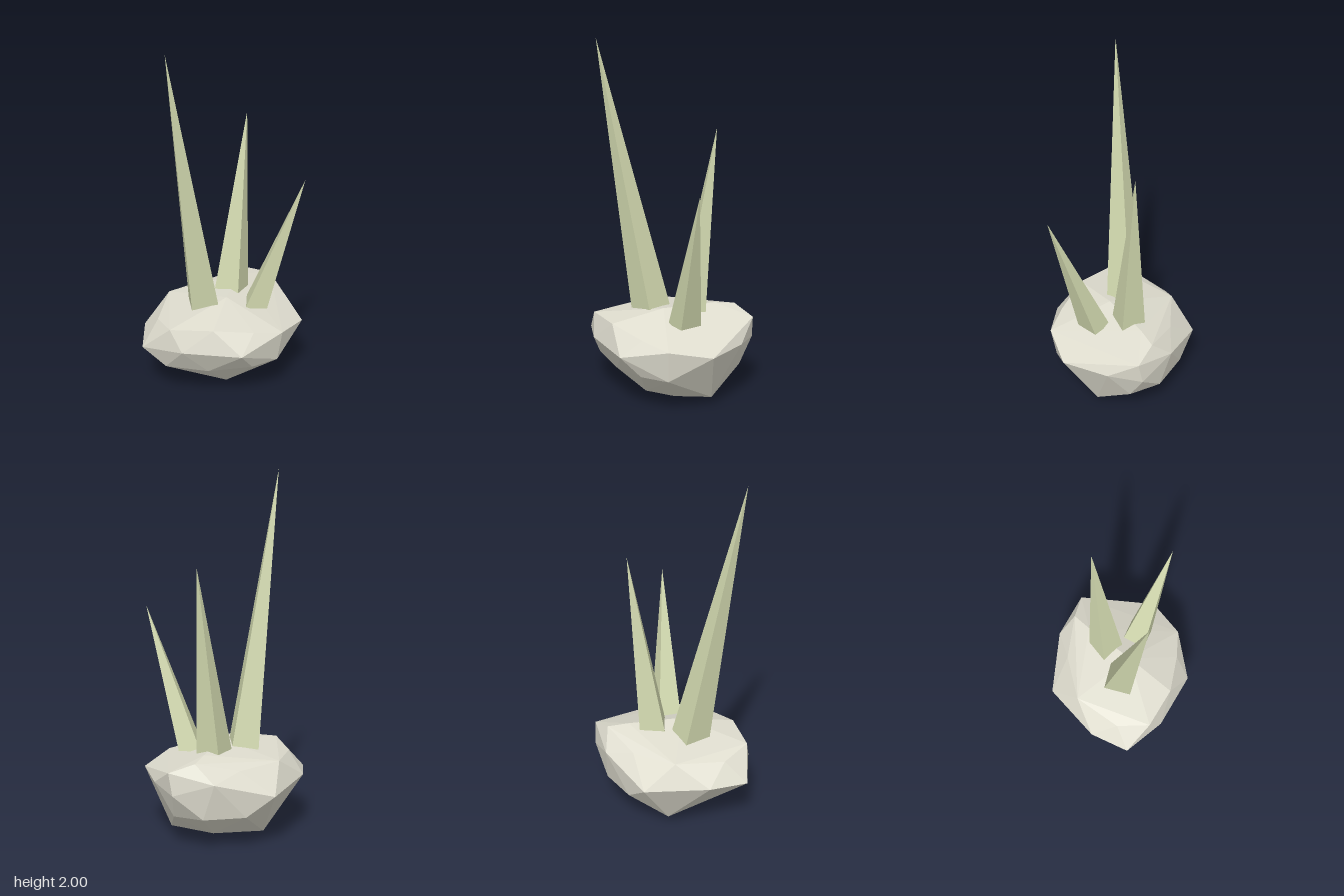
import * as THREE from 'three';
import { ConvexGeometry } from 'three/addons/geometries/ConvexGeometry.js';

const rockMat = new THREE.MeshStandardMaterial({ name: 'stone', color: 0xdfddcf, flatShading: true });
const spikeMat = new THREE.MeshStandardMaterial({ name: 'paleGreen', color: 0xd2d9af, flatShading: true });

const vec = (p) => new THREE.Vector3(...p);

// Faceted boulder corners, in rings from the top down
const ROCK = [
  // crown
  [-0.02, 0.52, 0.06], [0.25, 0.515, -0.08], [0.36, 0.5, -0.125], [-0.23, 0.48, 0.135],
  [-0.34, 0.43, -0.165], [0.16, 0.445, -0.26], [-0.1, 0.455, -0.31], [-0.285, 0.47, 0.2],
  // shoulder
  [0.47, 0.455, -0.035], [-0.42, 0.46, 0.005], [-0.1, 0.43, 0.33], [0.05, 0.4, 0.41],
  [0.335, 0.405, 0.185], [0.33, 0.4, -0.24], [0.42, 0.355, 0.13], [0.285, 0.36, 0.36],
  // girth
  [0.465, 0.33, -0.06], [-0.41, 0.34, 0.085], [-0.22, 0.335, 0.35], [-0.3, 0.33, -0.31],
  [-0.47, 0.31, -0.16], [0.045, 0.31, -0.415], [-0.19, 0.34, -0.305],
  // lower girth
  [0.285, 0.21, 0.24], [0.045, 0.22, 0.38], [-0.11, 0.22, 0.33], [-0.27, 0.19, 0.15],
  [-0.4, 0.2, -0.05], [0.17, 0.2, -0.32], [0.35, 0.195, -0.175], [0.4, 0.185, 0],
  // underside
  [0.26, 0.05, 0.17], [0.05, 0.03, 0.14], [-0.11, 0.055, 0.14], [-0.21, 0.08, -0.06],
  [-0.04, 0.05, -0.25], [0.2, 0.06, -0.1], [0.03, 0, 0],
];

// Tall four-sided spike: leaning tip over a base given as [x, z] corners
function spike(name, tip, base, y) {
  const points = [vec(tip), ...base.map(([x, z]) => vec([x, y, z]))];
  const mesh = new THREE.Mesh(new ConvexGeometry(points), spikeMat);
  mesh.name = name;
  return mesh;
}

export function createModel() {
  const group = new THREE.Group();
  group.name = 'spikyRockPlant';

  const rock = new THREE.Mesh(new ConvexGeometry(ROCK.map(vec)), rockMat);
  rock.name = 'rock';
  group.add(rock);

  group.add(
    spike('tallSpike', [-0.39, 2, -0.022],
      [[-0.11, -0.145], [0.01, -0.052], [-0.09, 0.07], [-0.21, -0.025]], 0.47),
    spike('middleSpike', [0.257, 1.525, -0.04],
      [[0.03, -0.08], [0.17, -0.115], [0.21, 0.02], [0.075, 0.06]], 0.475),
    spike('shortSpike', [0.21, 1.262, 0.412],
      [[0.02, 0.165], [0.12, 0.08], [0.2, 0.17], [0.1, 0.255]], 0.47),
  );
  return group;
}
